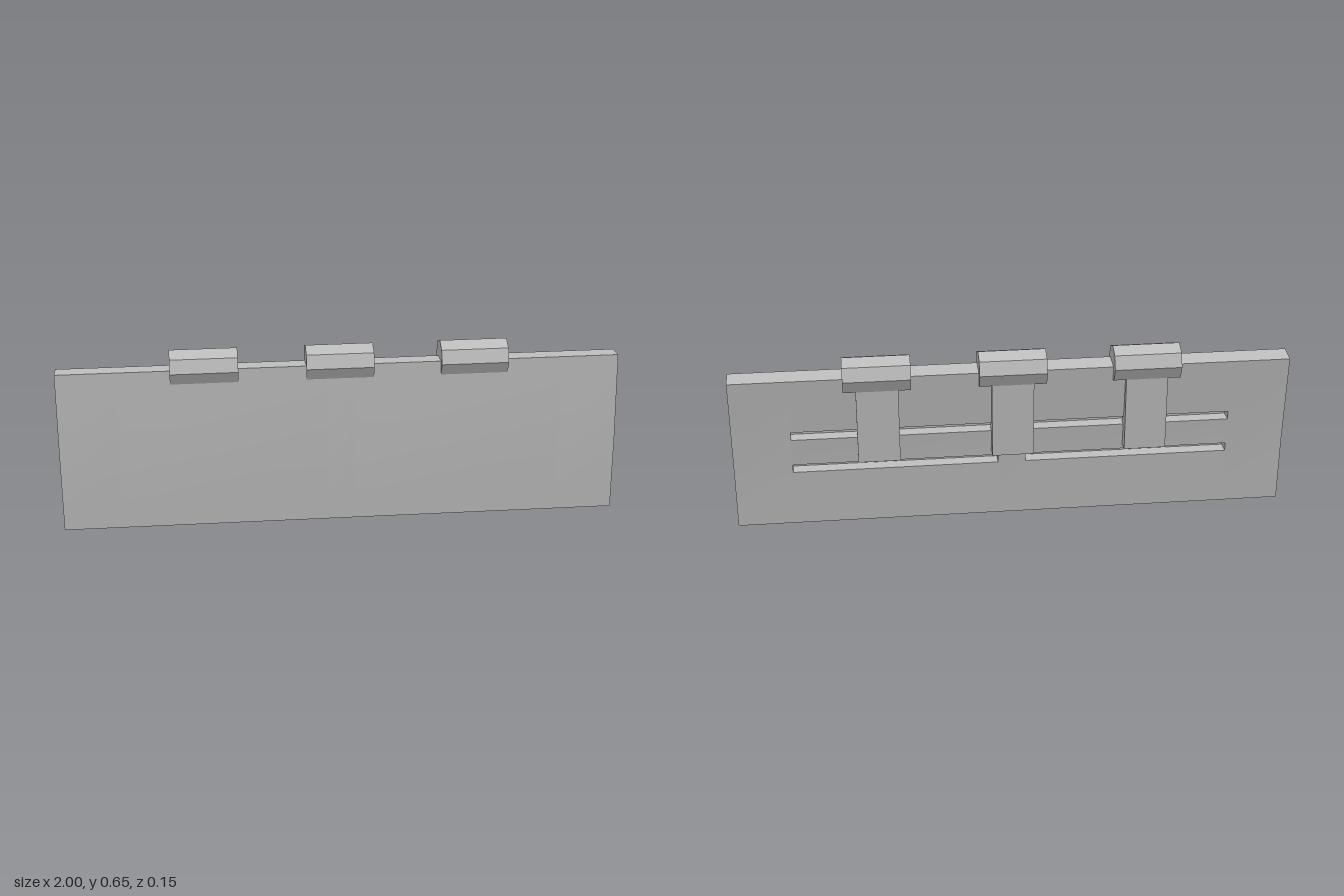
import * as THREE from 'three';
import { toCreasedNormals } from 'three/addons/utils/BufferGeometryUtils.js';

const HINGE_X = [-0.48, 0, 0.48];
const UPPER_SLOT = [0.346, 0.378];
const LOWER_SLOT = [0.212, 0.243];
const SLOT_DEPTH = 0.05;

// Extrudes a [z, y] outline along x from x0 to x1
function extrudeX(points, x0, x1) {
  const shape = new THREE.Shape(points.map(([z, y]) => new THREE.Vector2(-z, y)));
  const geo = new THREE.ExtrudeGeometry(shape, { depth: x1 - x0, bevelEnabled: false });
  geo.rotateY(Math.PI / 2);
  geo.translate(x0, 0, 0);
  return toCreasedNormals(geo, 0.3);
}

// Back face of the slightly bent panel
function backZ(y) {
  return y < 0.25
    ? THREE.MathUtils.lerp(0.002, -0.007, y / 0.25)
    : THREE.MathUtils.lerp(-0.007, -0.037, (y - 0.25) / 0.335);
}

// Panel cross-section, with grooves cut into the back
function panelProfile(slots) {
  const points = [[0.075, 0.004], [0.066, 0.28], [0.037, 0.593], [-0.037, 0.585]];
  const cut = ([y0, y1]) => {
    const floor = backZ((y0 + y1) / 2) + SLOT_DEPTH;
    points.push([backZ(y1), y1], [floor, y1], [floor, y0], [backZ(y0), y0]);
  };
  if (slots.includes(UPPER_SLOT)) cut(UPPER_SLOT);
  points.push([-0.007, 0.25]);
  if (slots.includes(LOWER_SLOT)) cut(LOWER_SLOT);
  points.push([0.002, 0]);
  return points;
}

export function createModel() {
  const model = new THREE.Group();
  const grey = new THREE.MeshStandardMaterial({ color: 0xbfbfbf });
  grey.name = 'plain grey';

  const add = (name, geometry, parent) => {
    const mesh = new THREE.Mesh(geometry, grey);
    mesh.name = name;
    parent.add(mesh);
  };

  // Panel: solid ends, grooved halves and a centre with only the upper groove
  const panel = new THREE.Group();
  panel.name = 'panel';
  model.add(panel);
  const both = [UPPER_SLOT, LOWER_SLOT];
  [
    ['rightEnd', -1, -0.79, []],
    ['rightGroovedHalf', -0.79, -0.05, both],
    ['centreStrip', -0.05, 0.05, [UPPER_SLOT]],
    ['leftGroovedHalf', 0.05, 0.79, both],
    ['leftEnd', 0.79, 1, []],
  ].forEach(([name, x0, x1, slots]) => add(name, extrudeX(panelProfile(slots), x0, x1), panel));

  // Hinges: an eight-sided barrel on the top edge and a strap down the back
  const barrel = [];
  for (let i = 0; i < 8; i++) {
    const a = (i * Math.PI) / 4;
    barrel.push([-0.007 + 0.067 * Math.sin(a), 0.588 + 0.067 * Math.cos(a)]);
  }
  const strap = [[-0.052, 0.263], [0.01, 0.261], [0.01, 0.57], [-0.052, 0.57]];
  for (const x of HINGE_X) {
    const hinge = new THREE.Group();
    hinge.name = 'hinge';
    model.add(hinge);
    add('barrel', extrudeX(barrel, x - 0.12, x + 0.12), hinge);
    add('strap', extrudeX(strap, x - 0.075, x + 0.075), hinge);
  }
  return model;
}
